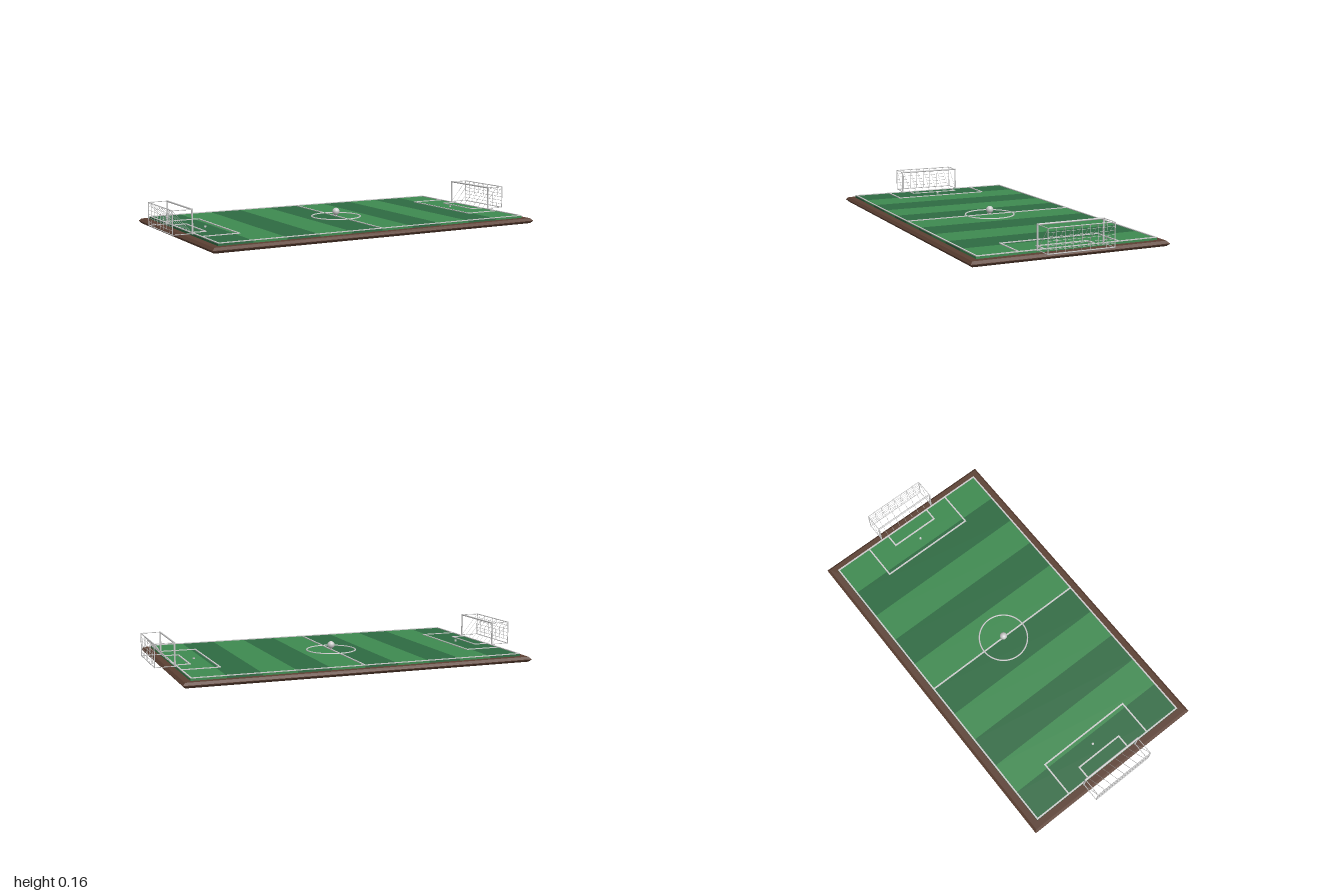
import * as THREE from 'three';

const mat = (color) => new THREE.MeshStandardMaterial({ color });
const WOOD = mat(0x5c4033), LIGHT = mat(0x3e8a50), DARK = mat(0x2e6b42);
const WHITE = mat(0xffffff), GREY = mat(0xcccccc);
const TOP = 0.038; // height of the grass

function add(parent, name, geometry, material, x = 0, y = 0, z = 0) {
  const mesh = new THREE.Mesh(geometry, material);
  mesh.name = name;
  mesh.position.set(x, y, z);
  parent.add(mesh);
  return mesh;
}

// Round bar between two points
function bar(parent, name, a, b, radius, sides = 8) {
  const from = new THREE.Vector3(...a), to = new THREE.Vector3(...b);
  const dir = to.clone().sub(from);
  const mesh = add(parent, name, new THREE.CylinderGeometry(radius, radius, dir.length(), sides), GREY);
  mesh.position.copy(from).add(to).multiplyScalar(0.5);
  mesh.quaternion.setFromUnitVectors(new THREE.Vector3(0, 1, 0), dir.normalize());
}

// Painted line running from (x0, z0) to (x1, z1) along an axis
function line(parent, name, x0, z0, x1, z1) {
  const w = 0.008;
  const geometry = new THREE.BoxGeometry(Math.abs(x1 - x0) + w, 0.004, Math.abs(z1 - z0) + w);
  add(parent, name, geometry, WHITE, (x0 + x1) / 2, TOP + 0.002, (z0 + z1) / 2);
}

// Three-sided marking against a goal line
function penaltyBox(parent, name, side, x, z) {
  line(parent, name, side * x, -z, side * x, z);
  for (const s of [-1, 1]) line(parent, name, side * x, s * z, side * 0.886, s * z);
}

function createGoal(side) {
  const goal = new THREE.Group();
  goal.name = side > 0 ? 'leftGoal' : 'rightGoal';
  const front = side * 0.896, back = side * 0.997;
  const low = 0.041, high = 0.16, half = 0.175;

  // Front frame, rear frame and the bars joining them
  bar(goal, 'crossbar', [front, high, -half - 0.004], [front, high, half + 0.004], 0.0045, 12);
  for (const z of [-half, half]) {
    bar(goal, 'post', [front, TOP, z], [front, high, z], 0.0045, 12);
    bar(goal, 'rearPost', [back, low, z], [back, high, z], 0.0025);
    bar(goal, 'topSideBar', [front, high, z], [back, high, z], 0.002);
    bar(goal, 'bottomSideBar', [front, low, z], [back, low, z], 0.002);
  }
  for (const y of [low, high]) bar(goal, 'rearBar', [back, y, -half], [back, y, half], 0.0025);

  // Net: rear grid and sloping strands
  for (let i = 0; i <= 8; i++) {
    const z = -half + (i * half) / 4;
    bar(goal, 'netUpright', [back, low, z], [back, high, z], 0.001, 5);
    bar(goal, 'netSlope', [back, high, z], [front, low, z], 0.001, 5);
  }
  for (let i = 1; i < 6; i++) {
    const y = low + ((high - low) * i) / 6;
    bar(goal, 'netRow', [back, y, -half], [back, y, half], 0.001, 5);
  }
  return goal;
}

export function createModel() {
  const model = new THREE.Group();
  model.name = 'footballPitch';

  // Wooden base with bevelled edges
  const bevel = 0.012, hx = 0.935 - bevel, hz = 0.525 - bevel;
  const outline = new THREE.Shape([
    new THREE.Vector2(-hx, -hz), new THREE.Vector2(hx, -hz),
    new THREE.Vector2(hx, hz), new THREE.Vector2(-hx, hz),
  ]);
  const base = new THREE.ExtrudeGeometry(outline, {
    depth: 0.003, bevelEnabled: true, bevelSize: bevel, bevelThickness: bevel, bevelSegments: 1,
  });
  base.rotateX(-Math.PI / 2);
  add(model, 'base', base, WOOD, 0, bevel, 0);

  // Mown grass stripes
  const stripe = 0.178;
  for (let i = 0; i < 10; i++) {
    const geometry = new THREE.BoxGeometry(stripe, TOP - 0.026, 0.96);
    add(model, 'grassStripe', geometry, i % 2 ? LIGHT : DARK, (i - 4.5) * stripe, (TOP + 0.026) / 2, 0);
  }

  // Field markings
  const markings = new THREE.Group();
  markings.name = 'markings';
  model.add(markings);
  line(markings, 'halfwayLine', 0, -0.476, 0, 0.476);
  for (const s of [-1, 1]) {
    line(markings, 'touchLine', -0.886, s * 0.476, 0.886, s * 0.476);
    line(markings, 'goalLine', s * 0.886, -0.476, s * 0.886, 0.476);
    penaltyBox(markings, 'penaltyArea', s, 0.69, 0.267);
    penaltyBox(markings, 'goalArea', s, 0.812, 0.135);
  }
  const circle = new THREE.TorusGeometry(0.132, 0.004, 8, 64);
  add(markings, 'centreCircle', circle, WHITE, 0, TOP + 0.001, 0).rotation.x = Math.PI / 2;
  for (const x of [-0.76, 0, 0.76]) {
    add(markings, 'spot', new THREE.CylinderGeometry(0.006, 0.006, 0.008, 16), WHITE, x, TOP + 0.004, 0);
  }

  // Goals at both ends and the ball on the centre spot
  for (const s of [-1, 1]) model.add(createGoal(s));
  add(model, 'ball', new THREE.SphereGeometry(0.02, 24, 16), GREY, 0, 0.065, 0);
  return model;
}
